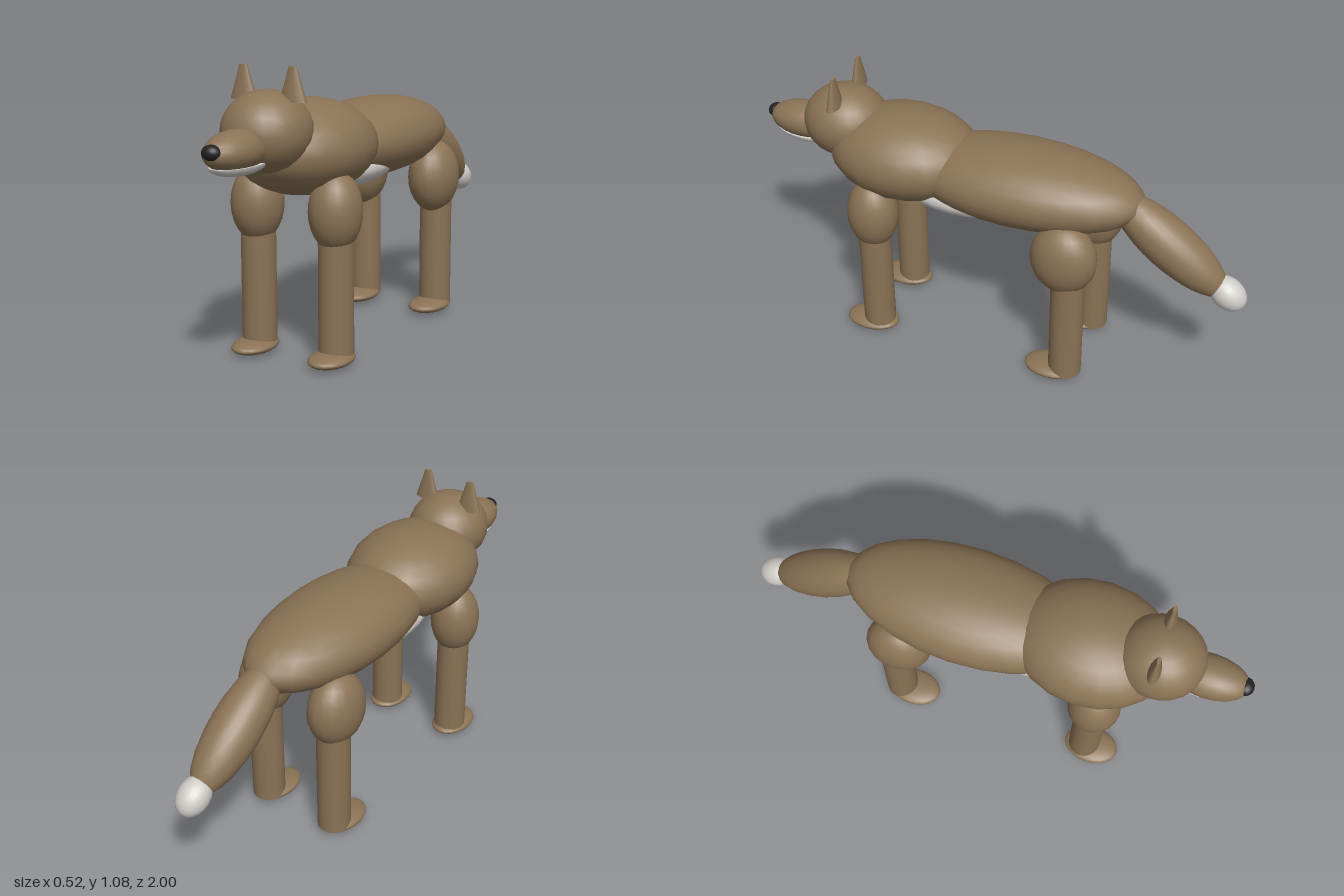
import * as THREE from 'three';

export function createModel() {
  const model = new THREE.Group();
  model.name = 'wolf';

  const mat = (name, color) => {
    const m = new THREE.MeshStandardMaterial({ color });
    m.name = name;
    return m;
  };
  const brown = mat('brown fur', 0x8b7355);
  const pale = mat('pale fur', 0xd0ccc8);
  const black = mat('black nose', 0x222222);

  const add = (name, geometry, material, position) => {
    const mesh = new THREE.Mesh(geometry, material);
    mesh.name = name;
    mesh.position.set(...position);
    model.add(mesh);
    return mesh;
  };
  // Ellipsoid given by its centre and its three radii
  const blob = (name, material, position, radii, segments = 20) => {
    const mesh = add(name, new THREE.SphereGeometry(1, segments, 14), material, position);
    mesh.scale.set(...radii);
    return mesh;
  };

  // Trunk
  blob('body', brown, [0, 0.75, -0.1], [0.23, 0.152, 0.485], 24);
  blob('chest', brown, [0, 0.775, 0.39], [0.245, 0.175, 0.31]);
  blob('belly', pale, [0, 0.668, 0.13], [0.17, 0.08, 0.3], 24);

  // Head
  blob('head', brown, [0, 0.86, 0.645], [0.16, 0.145, 0.17], 24);
  blob('snout', brown, [0, 0.82, 0.83], [0.086, 0.071, 0.155]);
  blob('nose', black, [0, 0.831, 0.968], [0.035, 0.027, 0.03]);

  // Lower jaw: half ellipsoid with a flat top
  const jawProfile = [new THREE.Vector2(0, -1)];
  for (let i = 1; i <= 7; i++) {
    const a = (i / 7) * Math.PI / 2;
    jawProfile.push(new THREE.Vector2(Math.sin(a), -Math.cos(a)));
  }
  const jaw = add('jaw', new THREE.LatheGeometry(jawProfile, 24), pale, [0, 0.772, 0.815]);
  jaw.scale.set(0.073, 0.038, 0.14);
  const jawTop = add('jawTop', new THREE.CircleGeometry(1, 24), pale, [0, 0.772, 0.815]);
  jawTop.rotation.x = -Math.PI / 2;
  jawTop.scale.set(0.073, 0.14, 1);

  // Tail slopes down behind the body
  const slope = -0.63;
  blob('tail', brown, [0, 0.615, -0.69], [0.097, 0.095, 0.28]).rotation.x = slope;
  blob('tailTip', pale, [0, 0.455, -0.925], [0.06, 0.06, 0.08]).rotation.x = slope;

  for (const [side, s] of [['left', 1], ['right', -1]]) {
    // Blunt, flattened ears
    const ear = add(side + 'Ear', new THREE.CylinderGeometry(0.015, 0.053, 0.12, 16), brown,
      [s * 0.1, 1.025, 0.635]);
    ear.scale.z = 0.45;

    // Legs: upper muscle, straight shank, flat paw
    const x = s * 0.165;
    for (const [end, z, thighZ, thighR, pawZ] of [
      ['Front', 0.463, 0.465, 0.103, 0.495],
      ['Hind', -0.351, -0.33, 0.13, -0.298],
    ]) {
      blob(side + end + 'Thigh', brown, [x, 0.563, thighZ], [0.097, 0.147, thighR]);
      add(side + end + 'Shank', new THREE.CylinderGeometry(0.065, 0.065, 0.53, 20), brown, [x, 0.29, z]);
      blob(side + end + 'Paw', brown, [x, 0.028, pawZ], [0.078, 0.027, 0.112]);
    }
  }
  return model;
}
